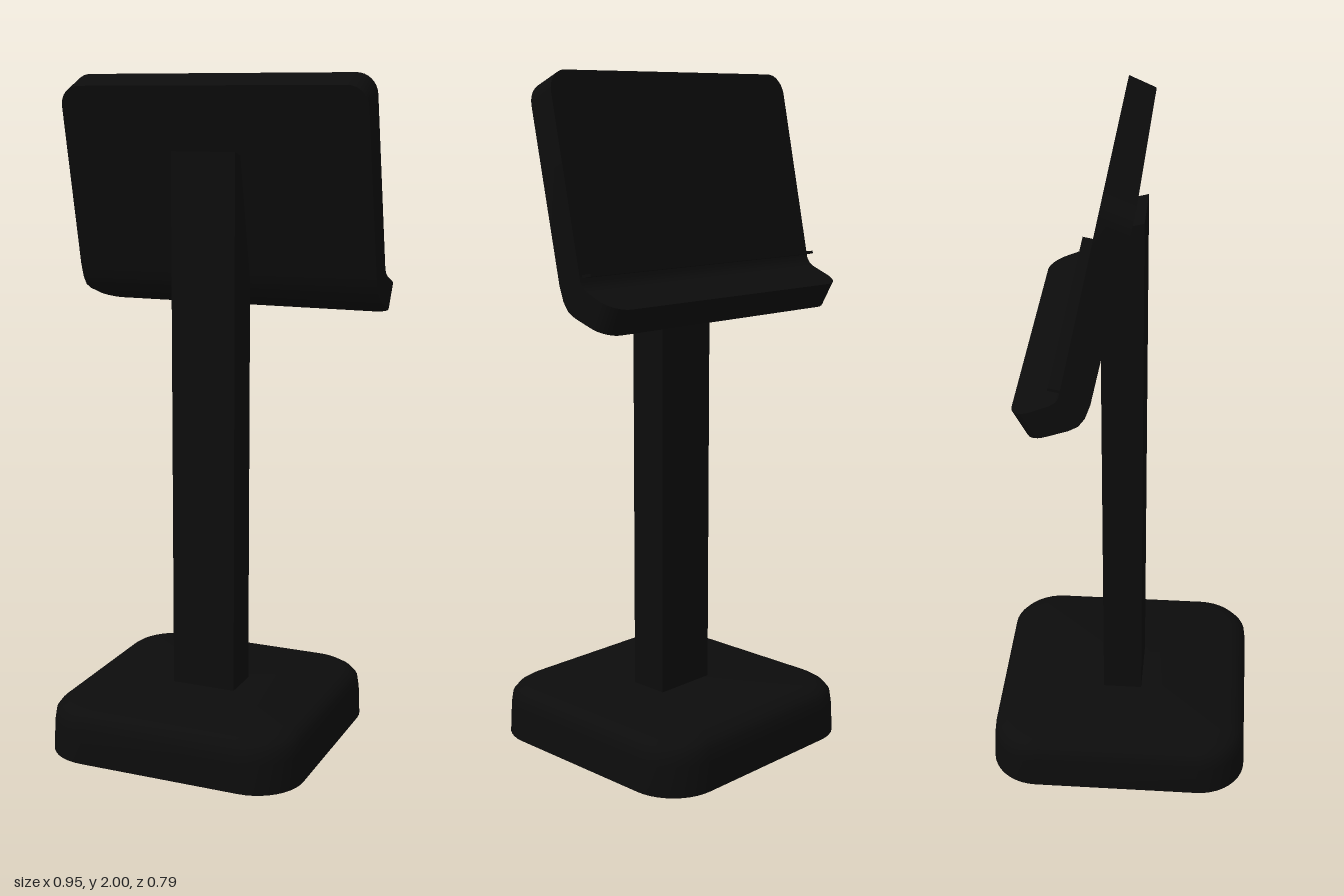
import * as THREE from 'three';
import { toCreasedNormals } from 'three/addons/utils/BufferGeometryUtils.js';

const material = new THREE.MeshStandardMaterial({ color: 0x0c0c0c });
const X0 = -0.015; // base and post sit slightly off the holder's centre

function mesh(name, geometry) {
  const m = new THREE.Mesh(geometry, material);
  m.name = name;
  return m;
}

// Skin through closed rings of equal length; both ends are closed to a point.
function loft(rings, crease = 0.6) {
  const centre = (ring) => {
    const c = new THREE.Vector3();
    ring.forEach((p) => c.addScaledVector(p, 1 / ring.length));
    return c;
  };
  const pos = [];
  const tri = (...pts) => pts.forEach((p) => pos.push(p.x, p.y, p.z));
  const n = rings[0].length;
  const last = rings[rings.length - 1];
  const start = centre(rings[0]);
  const end = centre(last);
  for (let i = 0; i < n; i++) {
    const j = (i + 1) % n;
    tri(start, rings[0][j], rings[0][i]);
    for (let k = 0; k < rings.length - 1; k++) {
      const a = rings[k], b = rings[k + 1];
      tri(a[i], a[j], b[j]);
      tri(a[i], b[j], b[i]);
    }
    tri(end, last[i], last[j]);
  }
  const g = new THREE.BufferGeometry();
  g.setAttribute('position', new THREE.Float32BufferAttribute(pos, 3));
  return toCreasedNormals(g, crease);
}

// Horizontal rounded square at height y
function roundedSquare(half, r, y, steps = 10) {
  const ring = [];
  for (let q = 0; q < 4; q++) {
    const mid = (q + 0.5) * Math.PI / 2;
    const cx = Math.sign(Math.cos(mid)) * (half - r);
    const cz = -Math.sign(Math.sin(mid)) * (half - r);
    for (let i = 0; i <= steps; i++) {
      const t = (q + i / steps) * Math.PI / 2;
      ring.push(new THREE.Vector3(X0 + cx + r * Math.cos(t), y, cz - r * Math.sin(t)));
    }
  }
  return ring;
}

// Hollow base: from the inner ceiling, down the inside, up the outside, over the top
function makeBase() {
  const rings = [[0.34, 0.1, 0.13], [0.365, 0.12, 0.11], [0.37, 0.12, 0],
    [0.397, 0.145, 0], [0.394, 0.145, 0.09], [0.39, 0.145, 0.125],
    [0.378, 0.14, 0.142], [0.36, 0.13, 0.154], [0.335, 0.11, 0.16]];
  return mesh('base', loft(rings.map(([h, r, y]) => roundedSquare(h, r, y))));
}

// Post with its top cut to the slope of the holder
function makePost() {
  const s = new THREE.Shape([[-0.06, 0.13], [-0.06, 1.78], [-0.02, 1.77], [0.06, 1.4], [0.06, 0.13]]
    .map(([x, y]) => new THREE.Vector2(x, y)));
  const g = new THREE.ExtrudeGeometry(s, { depth: 0.2, bevelEnabled: false });
  g.translate(0, 0, -0.1).rotateY(Math.PI / 2).translate(X0, 0, 0);
  return mesh('post', g);
}

// Slotted foot of the post under the base
function makeFoot() {
  const rect = (C, w, h) => new C([[-w, -h], [w, -h], [w, h], [-w, h]].map(([x, y]) => new THREE.Vector2(x, y)));
  const s = rect(THREE.Shape, 0.1, 0.06);
  s.holes.push(rect(THREE.Path, 0.06, 0.02));
  const g = new THREE.ExtrudeGeometry(s, { depth: 0.04, bevelEnabled: false });
  g.rotateX(-Math.PI / 2).translate(X0, 0.1, 0);
  return mesh('postFoot', g);
}

// Tilted plate bending into a lip, with rounded corners at both ends
function makeHolder() {
  const W = 0.475, R = 0.06, STEPS = 8;
  const rings = [];
  const add = (bz, by, fz, fy, w) => rings.push([[w, fz, fy], [w, bz, by], [-w, bz, by], [-w, fz, fy]]
    .map(([x, z, y]) => new THREE.Vector3(x, y, z)));
  const arc = (i) => {
    const a = i / STEPS * Math.PI / 2;
    return [R * (1 - Math.cos(a)), W - R + R * Math.sin(a)];
  };
  for (let i = 0; i <= STEPS; i++) {
    const [d, w] = arc(i);
    add(0.06 - 0.212 * d, 1.965 - 0.977 * d, -0.02 - 0.212 * d, 2 - 0.977 * d, w);
  }
  add(-0.055, 1.43, -0.133, 1.47, W);
  add(-0.07, 1.388, -0.138, 1.447, W);
  add(-0.088, 1.363, -0.147, 1.433, W);
  add(-0.115, 1.348, -0.163, 1.422, W);
  for (let i = STEPS; i >= 0; i--) {
    const [d, w] = arc(i);
    add(-0.23 + 0.936 * d, 1.307 + 0.351 * d, -0.27 + 0.936 * d, 1.38 + 0.351 * d, w);
  }
  return mesh('holder', loft(rings));
}

// Thin ledge across the foot of the plate
function makeLedge() {
  const m = mesh('ledge', new THREE.BoxGeometry(0.93, 0.008, 0.045));
  m.position.set(0, 1.462, -0.145);
  m.rotation.x = 0.2;
  return m;
}

export function createModel() {
  const model = new THREE.Group();
  model.name = 'tabletStand';
  model.add(makeBase(), makePost(), makeFoot(), makeHolder(), makeLedge());
  return model;
}
